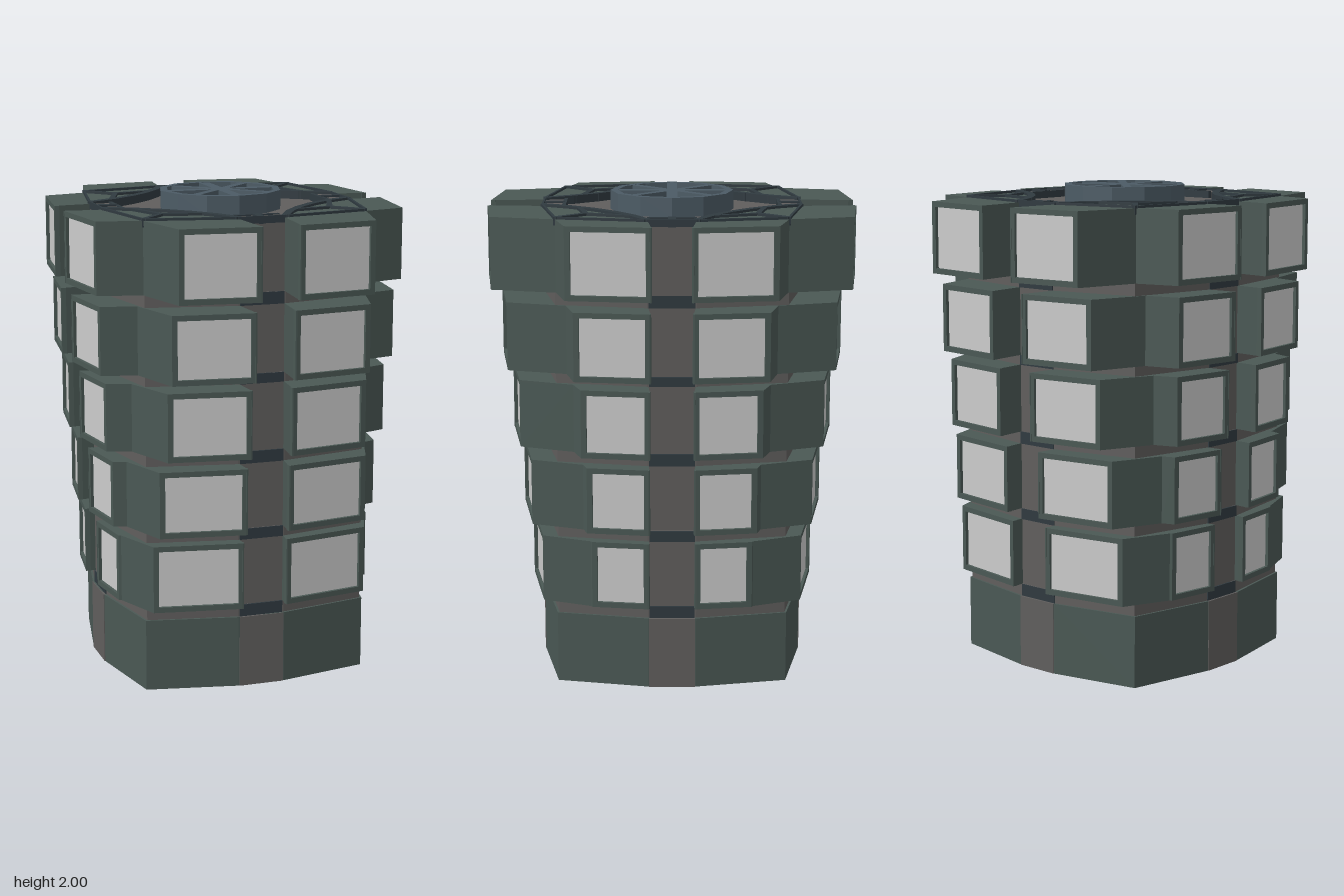
import * as THREE from 'three';

const mat = (color) => new THREE.MeshStandardMaterial({ color, flatShading: true, side: THREE.DoubleSide });
const green = mat(0x4a5854), grey = mat(0x605e5d), slate = mat(0x303a40), steel = mat(0x4c5b65), glass = mat(0xcccccc);

// One entry per storey, top to bottom: the outline of a pair of bays in the +x +z quadrant
const storeys = [
  { y: [1.65, 1.945], path: [[0.077, 0.765], [0.405, 0.73], [0.47, 0.465], [0.65, 0.42], [0.693, 0.08]] },
  { y: [1.32, 1.6], path: [[0.08, 0.71], [0.415, 0.667], [0.485, 0.425], [0.63, 0.39], [0.67, 0.084]] },
  { y: [1.0, 1.28], path: [[0.084, 0.67], [0.42, 0.62], [0.505, 0.398], [0.603, 0.365], [0.643, 0.088]] },
  { y: [0.675, 0.95], path: [[0.088, 0.63], [0.442, 0.575], [0.52, 0.362], [0.573, 0.345], [0.61, 0.091]] },
  { y: [0.35, 0.63], path: [[0.092, 0.595], [0.458, 0.532], [0.538, 0.332], [0.548, 0.328], [0.58, 0.094]] },
];
const quadrants = [[1, 1], [1, -1], [-1, -1], [-1, 1]];

const mirror = (pts, [sx, sz]) => {
  const out = pts.map(([x, z]) => [x * sx, z * sz]);
  return sx * sz < 0 ? out.reverse() : out;
};
const toVecs = (pts) => pts.map(([x, z]) => new THREE.Vector2(x, -z));

function add(parent, name, geometry, material) {
  const mesh = new THREE.Mesh(geometry, material);
  mesh.name = name;
  parent.add(mesh);
  return mesh;
}

// Horizontal plate from a plan outline [x, z], with optional holes
function slab(parent, name, pts, y0, y1, material, holes = []) {
  const shape = new THREE.Shape(toVecs(pts));
  holes.forEach((h) => shape.holes.push(new THREE.Path(toVecs(h))));
  const g = new THREE.ExtrudeGeometry(shape, { depth: y1 - y0, bevelEnabled: false });
  g.rotateX(-Math.PI / 2).translate(0, y0, 0);
  return add(parent, name, g, material);
}

// Straight bar between two plan points
function bar(parent, name, a, b, width, y0, y1, material) {
  const dx = b[0] - a[0], dz = b[1] - a[1];
  const g = new THREE.BoxGeometry(Math.hypot(dx, dz) + width * 0.5, y1 - y0, width);
  g.rotateY(Math.atan2(-dz, dx)).translate((a[0] + b[0]) / 2, (y0 + y1) / 2, (a[1] + b[1]) / 2);
  return add(parent, name, g, material);
}

// Upright wall from p to q, optionally a window frame with a recessed pane
function wall(parent, p, q, y0, y1, hasWindow) {
  const dx = q[0] - p[0], dz = q[1] - p[1], w = Math.hypot(dx, dz), h = y1 - y0, m = 0.022;
  const rect = (x0, x1, a, b) => [[x0, a], [x1, a], [x1, b], [x0, b]].map(([x, y]) => new THREE.Vector2(x, y));
  const shape = new THREE.Shape(rect(0, w, 0, h));
  if (hasWindow) shape.holes.push(new THREE.Path(rect(m, w - m, m, h - m)));
  const t = hasWindow ? 0.02 : 0.006;
  const g = new THREE.ExtrudeGeometry(shape, { depth: t, bevelEnabled: false }).translate(0, 0, -t);
  const panel = new THREE.Group();
  panel.name = hasWindow ? 'windowBay' : 'bayWall';
  panel.position.set(p[0], y0, p[1]);
  panel.rotation.y = Math.atan2(-dz, dx);
  add(panel, hasWindow ? 'windowFrame' : 'bayWallPanel', g, green);
  if (hasWindow) {
    add(panel, 'windowPane', new THREE.PlaneGeometry(w - 2 * m, h - 2 * m).translate(w / 2, h / 2, -0.013), glass);
  }
  parent.add(panel);
}

// Twelve-sided plan of the tower
function plan(r, corner, half = 0.1) {
  const quarter = [[half, r], [corner, corner], [r, half]];
  return quadrants.flatMap((s) => mirror(quarter, s));
}

// The same box on each of the four sides
function fourSides(parent, name, w, h, d, y, z, material) {
  for (let i = 0; i < 4; i++) {
    const g = new THREE.BoxGeometry(w, h, d).translate(0, y, z).rotateY(i * Math.PI / 2);
    add(parent, name, g, material);
  }
}

function buildBays(root) {
  const innerEdge = [[0.46, 0.09], [0.4, 0.4], [0.09, 0.46]];
  const roofEdge = [[0.53, 0.1], [0.42, 0.16], [0.32, 0.235], [0.235, 0.32], [0.16, 0.42], [0.1, 0.53]];
  storeys.forEach(({ y: [y0, y1], path }, row) => {
    const storey = new THREE.Group();
    storey.name = 'storey' + (storeys.length - row);
    for (const s of quadrants) {
      const outline = [[0.095, 0.53], ...path, [0.53, 0.095]];
      const pts = mirror(outline, s);
      for (let i = 0; i < pts.length - 1; i++) wall(storey, pts[i], pts[i + 1], y0, y1, i === 1 || i === 4);
      slab(storey, 'bayFloor', mirror([...outline, ...innerEdge], s), y0, y0 + 0.008, green);
      slab(storey, 'bayRoof', mirror([...outline, ...(row ? innerEdge : roofEdge)], s), y1 - 0.008, y1, green);
    }
    root.add(storey);
  });
}

function buildCore(root) {
  // Base and the narrow rings between storeys
  slab(root, 'base', plan(0.55, 0.475), 0, 0.3, green, [plan(0.53, 0.455)]);
  fourSides(root, 'basePillar', 0.19, 0.3, 0.03, 0.15, 0.538, grey);
  fourSides(root, 'pillar', 0.19, 1.645, 0.02, 1.1225, 0.527, grey);
  storeys.forEach(({ y: [y0] }, row) => {
    const low = row < 4 ? storeys[row + 1].y[1] : 0.3;
    slab(root, 'ringBand', plan(0.54, 0.468), low, y0, grey, [plan(0.46, 0.4)]);
    fourSides(root, 'pillarClamp', 0.186, y0 - low, 0.03, (low + y0) / 2, 0.529, slate);
  });
}

function buildTop(root) {
  const top = new THREE.Group();
  top.name = 'topDeck';
  slab(top, 'deck', plan(0.53, 0.46), 1.9, 1.92, grey);
  fourSides(top, 'deckEdge', 0.19, 0.025, 0.09, 1.9325, 0.49, grey);
  fourSides(top, 'deckEdgeRib', 0.2, 0.03, 0.015, 1.935, 0.448, slate);
  fourSides(top, 'deckEdgeSpoke', 0.03, 0.03, 0.09, 1.938, 0.493, slate);
  fourSides(top, 'deckRim', 0.2, 0.03, 0.008, 1.94, 0.536, slate);

  // Ribs dividing the roof panels, given for one quadrant
  const arch = [[0.1, 0.53], [0.16, 0.42], [0.235, 0.32], [0.32, 0.235], [0.42, 0.16], [0.53, 0.1]];
  const ribs = [
    ...arch.slice(1).map((p, i) => [arch[i], p, 0.032]),
    [[0.19, 0.38], [0.36, 0.345], 0.022],
    [[0.36, 0.345], [0.425, 0.165], 0.022],
    [[0.36, 0.345], [0.465, 0.463], 0.022],
    [[0.1, 0.537], [0.468, 0.466], 0.01],
    [[0.468, 0.466], [0.537, 0.1], 0.01],
  ];
  for (const s of quadrants) {
    for (const [a, b, w] of ribs) {
      const [p, q] = mirror([a, b], s);
      bar(top, 'roofRib', p, q, w, 1.92, 1.955, slate);
    }
  }

  // Spoked hub
  const ring = (r) => Array.from({ length: 12 }, (_, i) => [r * Math.cos(i * Math.PI / 6), r * Math.sin(i * Math.PI / 6)]);
  slab(top, 'hubFloor', ring(0.24), 1.92, 1.95, steel);
  slab(top, 'hubRim', ring(0.257), 1.92, 2.0, steel, [ring(0.228)]);
  for (let i = 0; i < 4; i++) {
    const a = i * Math.PI / 4, c = 0.226 * Math.cos(a), d = 0.226 * Math.sin(a);
    bar(top, 'hubSpoke', [-c, -d], [c, d], i % 2 ? 0.034 : 0.044, 1.95, 1.999, steel);
  }
  root.add(top);
}

export function createModel() {
  const root = new THREE.Group();
  root.name = 'tower';
  buildCore(root);
  buildBays(root);
  buildTop(root);
  return root;
}
